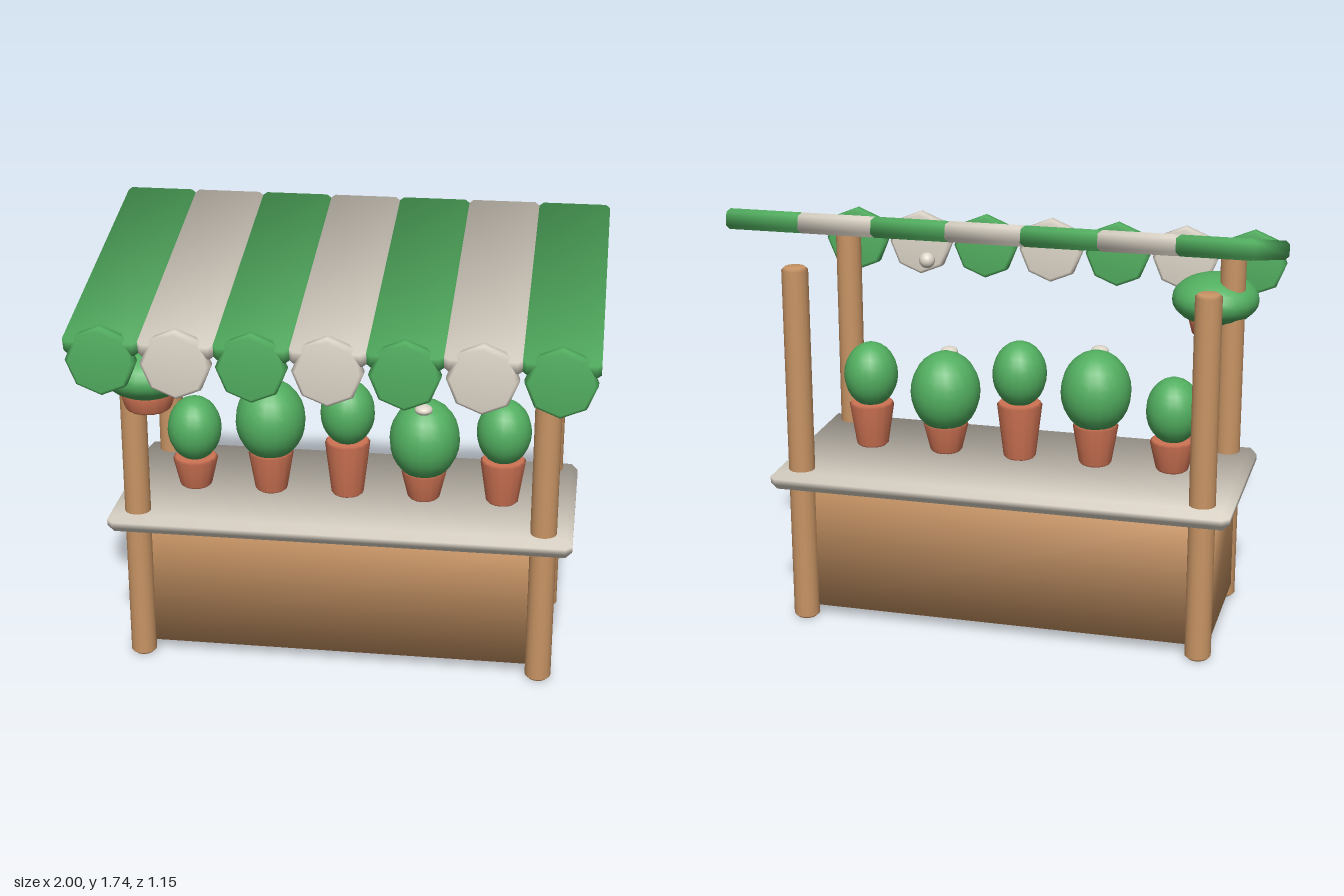
import * as THREE from 'three';
import { ConvexGeometry } from 'three/addons/geometries/ConvexGeometry.js';

function material(name, color) {
  const m = new THREE.MeshStandardMaterial({ color });
  m.name = name;
  return m;
}

// Box with chamfers bx, by, bz along each axis and normals blended across the corners
function chamferBox(w, h, d, bx, by, bz) {
  const pts = [];
  for (const sx of [-0.5, 0.5]) for (const sy of [-0.5, 0.5]) for (const sz of [-0.5, 0.5]) {
    const x = sx * w, y = sy * h, z = sz * d;
    const ix = 2 * sx * bx, iy = 2 * sy * by, iz = 2 * sz * bz;
    pts.push(
      new THREE.Vector3(x, y - iy, z - iz),
      new THREE.Vector3(x - ix, y, z - iz),
      new THREE.Vector3(x - ix, y - iy, z),
    );
  }
  const g = new ConvexGeometry(pts);
  const p = g.attributes.position, n = g.attributes.normal, k = 1 / Math.sqrt(3);
  for (let i = 0; i < p.count; i++) {
    n.setXYZ(i, Math.sign(p.getX(i)) * k, Math.sign(p.getY(i)) * k, Math.sign(p.getZ(i)) * k);
  }
  return g;
}

// Turned solid, tapering from r0 to r1 with a small bevel b at both ends
function turned(r0, r1, h, b, sides) {
  const pts = [[0, 0], [r0 - b, 0], [r0, b], [r1, h - b], [r1 - b, h], [0, h]];
  return new THREE.LatheGeometry(pts.map(([x, y]) => new THREE.Vector2(x, y)), sides);
}

export function createModel() {
  const root = new THREE.Group();
  root.name = 'plantStall';
  const green = material('leafGreen', 0x52af60);
  const cream = material('cream', 0xddd5c8);
  const wood = material('wood', 0xc99565);
  const clay = material('terracotta', 0xcd7253);

  function add(name, geo, mat, x, y, z, parent = root) {
    const m = new THREE.Mesh(geo, mat);
    m.name = name;
    m.position.set(x, y, z);
    parent.add(m);
    return m;
  }

  // Posts
  const postGeo = turned(0.052, 0.052, 1.473, 0.012, 16);
  for (const x of [-0.81, 0.81]) {
    add('frontPost', postGeo, wood, x, 0, 0.283);
    add('backPost', postGeo, wood, x, 0, -0.35);
  }

  // Counter body, its chamfered corners sunk into the posts, and worktop
  add('counterBody', chamferBox(1.7, 0.535, 0.63, 0.075, 0.025, 0.03), wood, 0, 0.302, -0.034);
  add('worktop', chamferBox(1.85, 0.076, 0.802, 0.026, 0.026, 0.03), cream, 0, 0.602, -0.033);

  // Striped awning: touching slats, each with an octagonal scallop in front
  const slatGeo = chamferBox(0.286, 0.078, 1.167, 0.017, 0.014, 0.02);
  const scallopGeo = turned(0.135, 0.135, 0.062, 0.015, 8);
  scallopGeo.translate(0, -0.031, 0).rotateX(Math.PI / 2);
  for (let i = -3; i <= 3; i++) {
    const mat = i % 2 !== 0 ? green : cream;
    const x = i * 0.286;
    add('awningSlat', slatGeo, mat, x, 1.565, 0).rotation.x = 0.237;
    add('awningScallop', scallopGeo, mat, x, 1.375, 0.545);
  }

  // Potted plants: x, pot top, ball centre, ball radius, ball half height, flower
  const ball = new THREE.SphereGeometry(1, 20, 14);
  const plants = [
    [-0.63, 0.77, 0.89, 0.11, 0.135, false],
    [-0.315, 0.812, 0.945, 0.142, 0.167, true],
    [0, 0.875, 0.993, 0.11, 0.135, false],
    [0.312, 0.765, 0.895, 0.142, 0.167, true],
    [0.63, 0.827, 0.943, 0.11, 0.135, false],
  ];
  for (const [x, top, cy, r, ry, flower] of plants) {
    const plant = new THREE.Group();
    plant.name = 'pottedPlant';
    plant.position.set(x, 0, 0.005);
    root.add(plant);
    add('pot', turned(0.066, 0.092, top - 0.638, 0.01, 14), clay, 0, 0.638, 0, plant);
    add('cactus', ball, green, 0, cy, 0, plant).scale.set(r, ry, r * 1.05);
    if (flower) add('flower', ball, cream, 0, cy + ry - 0.017, 0.062, plant).scale.set(0.036, 0.021, 0.036);
  }

  // Wide plant beside the front right post
  add('hangingPot', turned(0.092, 0.107, 0.075, 0.01, 14), clay, -0.733, 1.11, 0.345);
  add('hangingCactus', ball, green, -0.733, 1.266, 0.345).scale.set(0.178, 0.104, 0.185);

  // Round bud behind the scallops
  add('bud', ball, cream, 0.53, 1.312, 0.482).scale.setScalar(0.034);

  return root;
}
